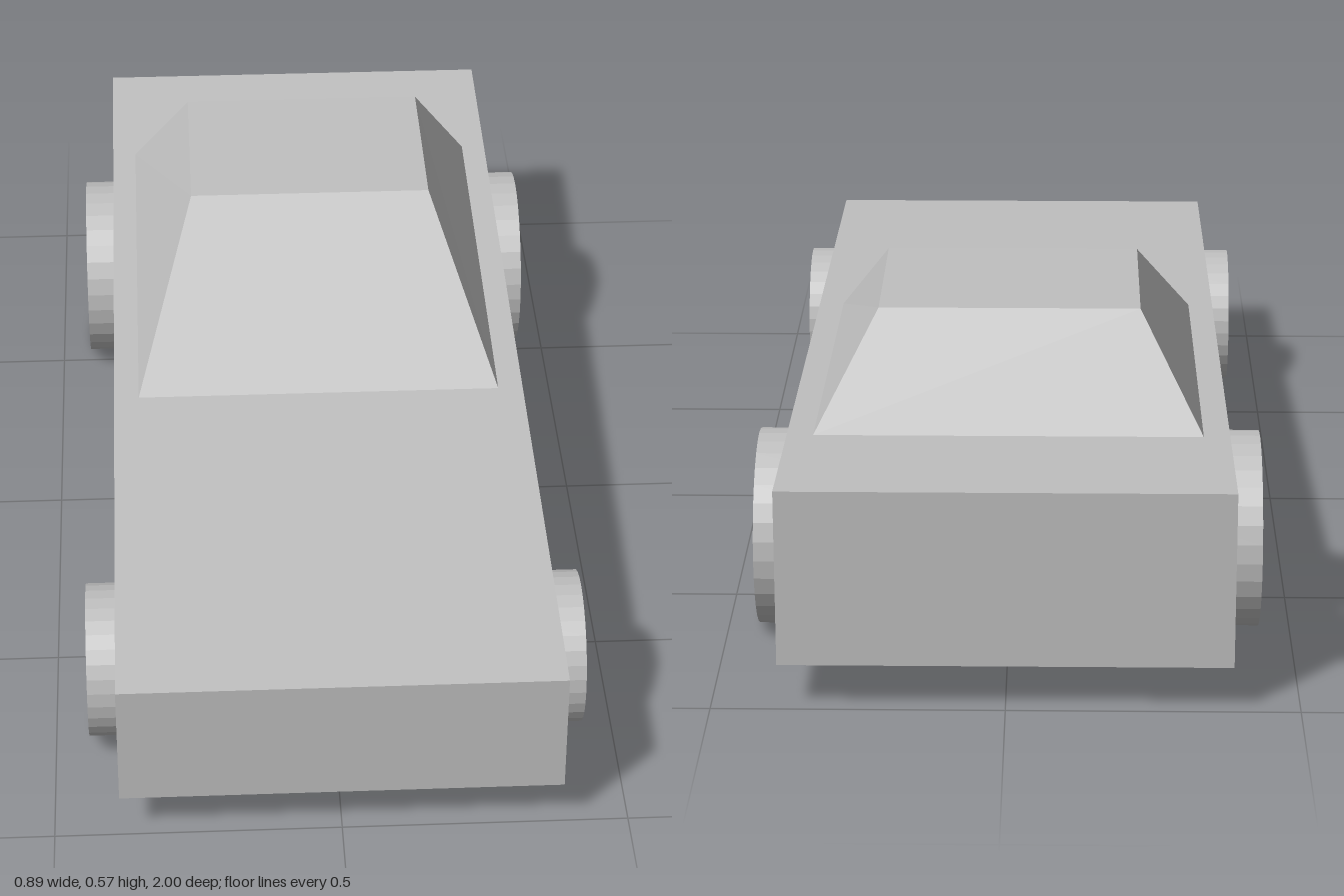
import * as THREE from 'three';

// Box whose side outline is reshaped: each corner is [halfWidth, y, z]
function taperedBox(corners) {
  const geo = new THREE.BoxGeometry(2, 2, 2);
  const p = geo.attributes.position;
  for (let i = 0; i < p.count; i++) {
    const key = (p.getY(i) > 0 ? 'top' : 'bottom') + (p.getZ(i) > 0 ? 'Front' : 'Back');
    const [w, y, z] = corners[key];
    p.setXYZ(i, Math.sign(p.getX(i)) * w, y, z);
  }
  geo.computeVertexNormals();
  return geo;
}

export function createModel() {
  const model = new THREE.Group();
  model.name = 'car';
  const grey = new THREE.MeshStandardMaterial({ color: 0xc0c0c0, flatShading: true });
  grey.name = 'plain grey';

  const add = (name, geo) => {
    const mesh = new THREE.Mesh(geo, grey);
    mesh.name = name;
    model.add(mesh);
    return mesh;
  };

  // Wedge body, rising toward the tail
  add('body', taperedBox({
    topFront: [0.386, 0.312, 1], topBack: [0.386, 0.395, -1],
    bottomFront: [0.386, 0.082, 1], bottomBack: [0.386, 0.082, -1],
  }));

  // Cabin, seated on the sloping deck
  add('cabin', taperedBox({
    topFront: [0.23, 0.572, -0.2], topBack: [0.23, 0.575, -0.565],
    bottomFront: [0.34, 0.346, 0.16], bottomBack: [0.34, 0.382, -0.692],
  }));

  // Small front wheels and larger rear wheels
  const wheels = [
    { name: 'frontWheel', r: 0.136, y: 0.152, z: 0.7, outer: 0.439 },
    { name: 'rearWheel', r: 0.174, y: 0.175, z: -0.593, outer: 0.443 },
  ];
  const inner = 0.328;
  for (const { name, r, y, z, outer } of wheels) {
    for (const side of [1, -1]) {
      const geo = new THREE.CylinderGeometry(r, r, outer - inner, 32).rotateZ(Math.PI / 2);
      const wheel = add((side > 0 ? 'left ' : 'right ') + name, geo);
      wheel.position.set(side * (outer + inner) / 2, y, z);
    }
  }
  return model;
}
